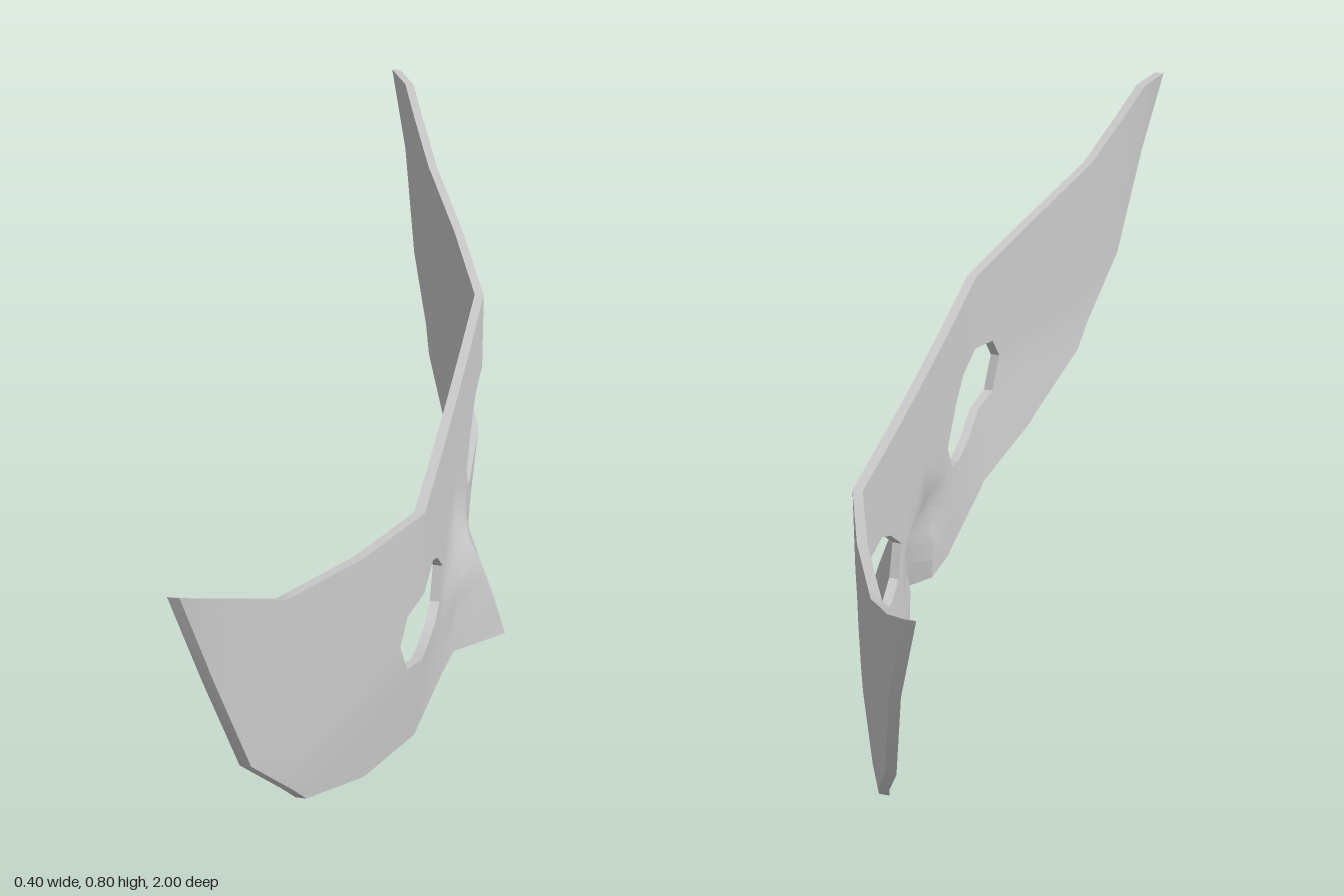
import * as THREE from 'three';
import { toCreasedNormals } from 'three/addons/utils/BufferGeometryUtils.js';

// Piecewise-linear curve through [position, value] points
function lerp(pts, t) {
  if (t <= pts[0][0]) return pts[0][1];
  for (let i = 1; i < pts.length; i++) {
    const [a, va] = pts[i - 1], [b, vb] = pts[i];
    if (t <= b) return va + (vb - va) * (t - a) / (b - a);
  }
  return pts[pts.length - 1][1];
}

// Outlines over the distance from the middle (the mask is mirrored in z)
const TOP = [[0, 0.557], [0.2, 0.56], [0.4, 0.568], [0.6, 0.607], [0.8, 0.66], [1, 0.8]];
const BOTTOM = [[0, 0], [0.085, 0.008], [0.16, 0.01], [0.38, 0.045], [0.58, 0.1], [0.76, 0.2], [0.9, 0.39], [0.97, 0.62], [1, 0.8]];
// Edges of the eye opening; they meet outside the eye
const EYE_LOW = [[0, 0.28], [0.17, 0.285], [0.2, 0.22], [0.25, 0.203], [0.33, 0.213], [0.455, 0.255], [0.485, 0.33], [0.8, 0.43], [0.9, 0.56], [0.97, 0.7], [1, 0.8]];
const EYE_HIGH = [[0, 0.28], [0.17, 0.285], [0.24, 0.355], [0.295, 0.39], [0.39, 0.395], [0.46, 0.38], [0.485, 0.33], [0.8, 0.43], [0.9, 0.56], [0.97, 0.7], [1, 0.8]];
// Wrap of the face and ridge of the nose
const WRAP = [[0, 0.092], [0.4, 0.092], [0.6, 0.02], [0.8, -0.067], [0.9, -0.115], [0.97, -0.147], [1, -0.182]];
const RIDGE = [[0, 0.108], [0.1, 0.08], [0.19, 0.05], [0.28, 0]];
const HALF = [0, 0.085, 0.16, 0.17, 0.2, 0.24, 0.25, 0.295, 0.33, 0.38, 0.4, 0.455, 0.46, 0.485, 0.58, 0.6, 0.68, 0.76, 0.8, 0.9, 0.97, 1];
const THICK = 0.019;

// Depth of the outer surface
function depth(y, z) {
  const a = Math.abs(z);
  const chin = 0.02 * lerp([[0.05, 1], [0.3, 0]], y) * lerp([[0.16, 0], [0.4, 1], [0.8, 1], [1, 0]], a);
  const side = lerp([[0.11, 0.12], [0.19, 0.4]], y);
  const nose = lerp(RIDGE, y) * lerp([[0, 1], [0.085, side], [0.16, 0]], a);
  return lerp(WRAP, a) - chin + nose;
}

function maskGeometry() {
  const pos = [];
  const quad = (a, b, c, d) => [a, b, c, a, c, d].forEach(p => pos.push(...p));
  const outer = (y, z) => [depth(y, z), y, z];
  const inner = (y, z) => [depth(y, z) - THICK, y, z];
  const zs = [...HALF.slice(1).reverse().map(z => -z), ...HALF];

  // One band of sheet between two outlines, with its exposed rims
  function band(low, high, rows, lowRim, highRim) {
    for (let i = 0; i < zs.length - 1; i++) {
      const z0 = zs[i], z1 = zs[i + 1];
      const yAt = (z, j) => {
        const l = lerp(low, Math.abs(z)), h = lerp(high, Math.abs(z));
        return l + (h - l) * j / rows;
      };
      for (let j = 0; j < rows; j++) {
        const a = [yAt(z0, j), z0], b = [yAt(z1, j), z1];
        const c = [yAt(z1, j + 1), z1], d = [yAt(z0, j + 1), z0];
        // mirrored diagonals keep both halves alike
        if (z0 < 0) {
          quad(outer(...a), outer(...d), outer(...c), outer(...b));
          quad(inner(...a), inner(...b), inner(...c), inner(...d));
        } else {
          quad(outer(...d), outer(...c), outer(...b), outer(...a));
          quad(inner(...b), inner(...c), inner(...d), inner(...a));
        }
      }
      const mid = Math.abs(z0 + z1) / 2;
      const open = mid > 0.17 && mid < 0.485;
      if (lowRim || open) {
        const a = [yAt(z0, 0), z0], b = [yAt(z1, 0), z1];
        quad(outer(...a), outer(...b), inner(...b), inner(...a));
      }
      if (highRim || open) {
        const a = [yAt(z0, rows), z0], b = [yAt(z1, rows), z1];
        quad(inner(...a), inner(...b), outer(...b), outer(...a));
      }
    }
  }
  band(BOTTOM, EYE_LOW, 6, true, false);
  band(EYE_HIGH, TOP, 3, false, true);

  // Drop the empty triangles where outlines meet
  const kept = [];
  const tri = new THREE.Triangle();
  for (let i = 0; i < pos.length; i += 9) {
    tri.a.fromArray(pos, i);
    tri.b.fromArray(pos, i + 3);
    tri.c.fromArray(pos, i + 6);
    if (tri.getArea() > 1e-9) kept.push(...pos.slice(i, i + 9));
  }
  const g = new THREE.BufferGeometry();
  g.setAttribute('position', new THREE.Float32BufferAttribute(kept, 3));
  return toCreasedNormals(g, THREE.MathUtils.degToRad(32));
}

export function createModel() {
  const group = new THREE.Group();
  group.name = 'eyeMask';
  const mask = new THREE.Mesh(maskGeometry(), new THREE.MeshStandardMaterial({ color: 0xcccccc }));
  mask.name = 'maskShell';
  group.add(mask);
  return group;
}
